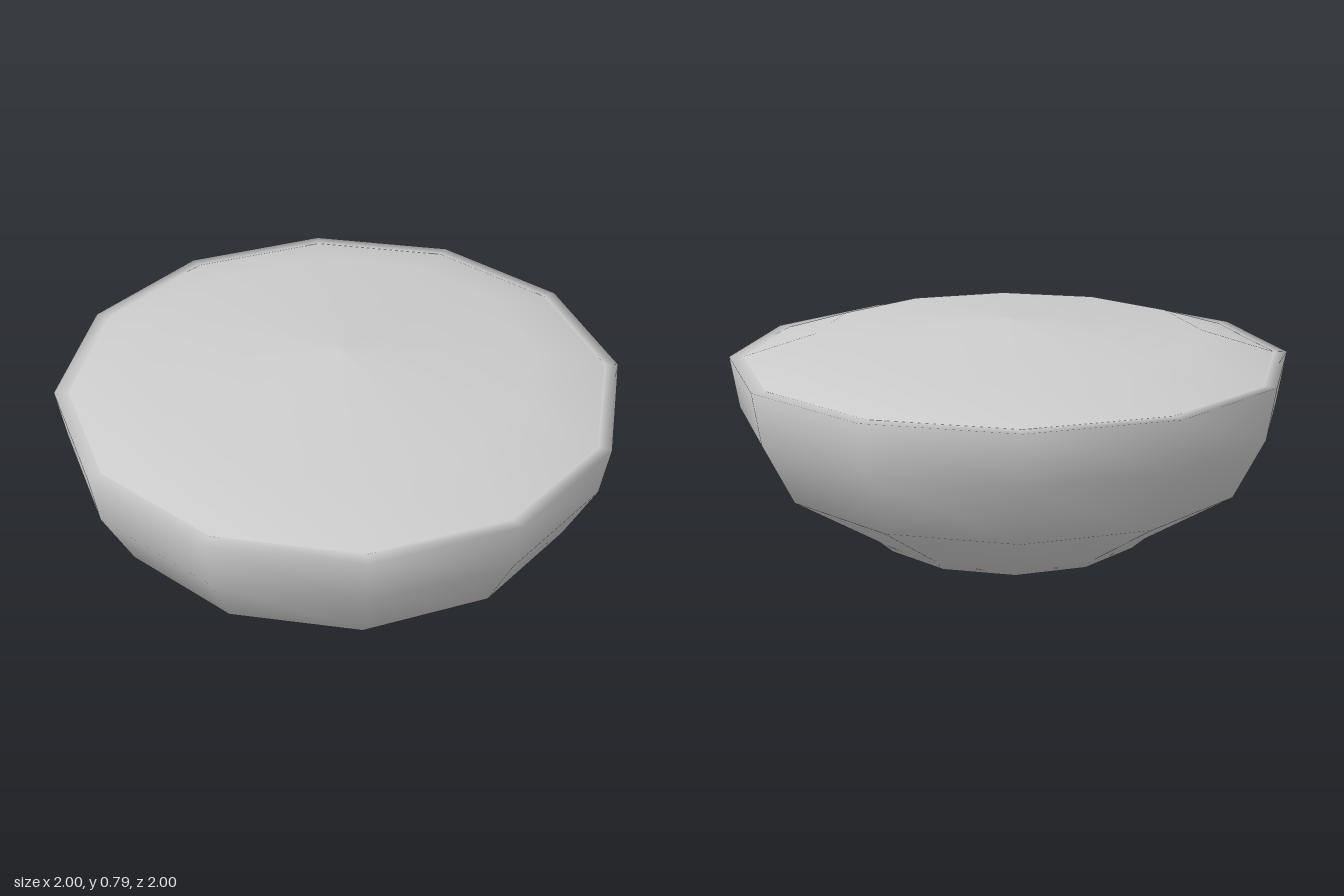
import * as THREE from 'three';

const SIDES = 12;

// Smooth twelve-sided solid of revolution; profile runs from bottom to top
function turned(name, profile) {
  const points = profile.map(([r, y]) => new THREE.Vector2(r, y));
  const material = new THREE.MeshStandardMaterial({ color: 0xcccccc });
  const mesh = new THREE.Mesh(new THREE.LatheGeometry(points, SIDES), material);
  mesh.name = name;
  return mesh;
}

export function createModel() {
  const group = new THREE.Group();
  group.name = 'filledBowl';

  // Bowl: flat base, short foot, rounded wall and narrow flat rim
  group.add(turned('bowl', [
    [0, 0], [0.49, 0], [0.54, 0.045], [0.86, 0.25],
    [0.97, 0.47], [1, 0.655], [0.95, 0.655],
  ]));

  // Low domed contents rising from the rim
  group.add(turned('filling', [
    [0.95, 0.655], [0.69, 0.737], [0, 0.787],
  ]));

  return group;
}
